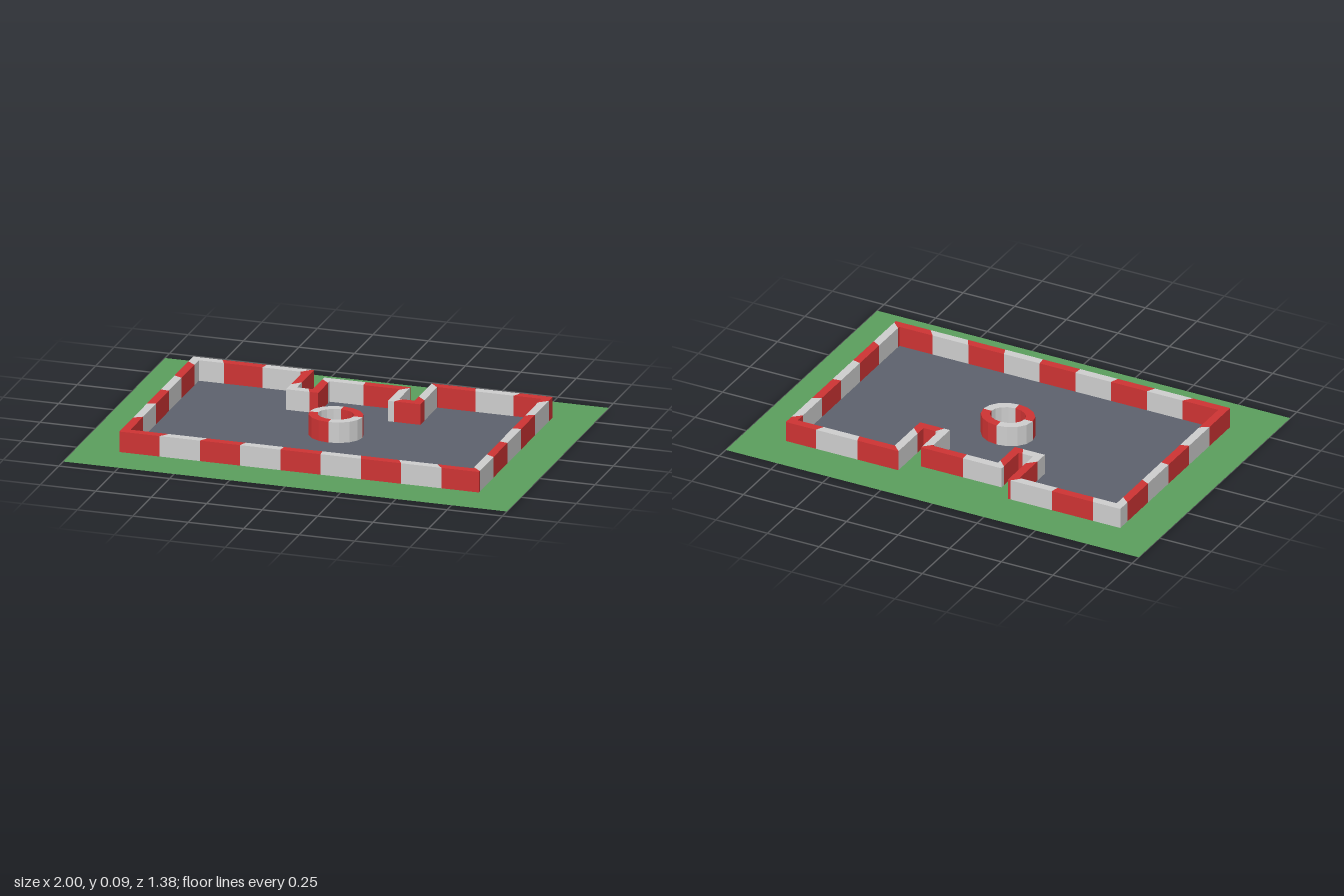
import * as THREE from 'three';

const HEIGHT = 0.093;
const THICK = 0.0375;

const material = (name, color, side = THREE.FrontSide) => {
  const m = new THREE.MeshStandardMaterial({ color, side });
  m.name = name;
  return m;
};

// Boundary of the track as [x, z], counterclockwise from above, inset by t
function boundary(t) {
  const half = [
    [0.81 - t, 0.5 - t], [0.81 - t, -0.5 + t],
    [0.265 + t, -0.5 + t], [0.265 + t, -0.27 + t],
    [0.195 - t, -0.27 + t], [0.195 - t, -0.425 + t],
  ];
  const mirrored = half.map(([x, z]) => [-x, z]).reverse();
  return [mirrored.pop(), ...half, ...mirrored];
}

function ellipse(rx, rz, n = 16) {
  return Array.from({ length: n }, (_, i) => {
    const a = (i / n) * Math.PI * 2;
    return [rx * Math.cos(a), -rz * Math.sin(a)];
  });
}

// Flat ground surface with holes
function ground(name, outline, holes, mat) {
  const toV = ([x, z]) => new THREE.Vector2(x, -z);
  const shape = new THREE.Shape(outline.map(toV));
  holes.forEach((h) => shape.holes.push(new THREE.Path(h.map(toV))));
  const mesh = new THREE.Mesh(new THREE.ShapeGeometry(shape).rotateX(-Math.PI / 2), mat);
  mesh.name = name;
  return mesh;
}

// Wall between two matching loops, cut into equal stripes along the inner loop
function stripedWall(name, outer, inner, stripes, mats) {
  const n = inner.length;
  const lengths = inner.map((p, i) => {
    const q = inner[(i + 1) % n];
    return Math.hypot(q[0] - p[0], q[1] - p[1]);
  });
  const step = lengths.reduce((a, b) => a + b, 0) / stripes;
  const positions = [[], []];
  const along = (loop, i, f) => {
    const p = loop[i], q = loop[(i + 1) % n];
    return [p[0] + (q[0] - p[0]) * f, p[1] + (q[1] - p[1]) * f];
  };

  let start = 0;
  for (let i = 0; i < n; i++) {
    const end = start + lengths[i];
    let s = start;
    while (s < end - 1e-6) {
      const index = Math.floor((s + 1e-6) / step);
      const next = Math.min(end, (index + 1) * step);
      const f0 = (s - start) / lengths[i], f1 = (next - start) / lengths[i];
      const a0 = along(outer, i, f0), a1 = along(outer, i, f1);
      const b0 = along(inner, i, f0), b1 = along(inner, i, f1);
      const low = ([x, z]) => [x, 0, z], high = ([x, z]) => [x, HEIGHT, z];
      const quad = (a, b, c, d) => positions[index % 2].push(...a, ...b, ...c, ...a, ...c, ...d);
      quad(low(a0), low(a1), high(a1), high(a0));
      quad(high(a0), high(a1), high(b1), high(b0));
      quad(low(b1), low(b0), high(b0), high(b1));
      s = next;
    }
    start = end;
  }

  const group = new THREE.Group();
  group.name = name;
  positions.forEach((list, k) => {
    const geometry = new THREE.BufferGeometry();
    geometry.setAttribute('position', new THREE.Float32BufferAttribute(list, 3));
    geometry.computeVertexNormals();
    const mesh = new THREE.Mesh(geometry, mats[k]);
    mesh.name = name + (k ? 'WhiteStripes' : 'RedStripes');
    group.add(mesh);
  });
  return group;
}

export function createModel() {
  const model = new THREE.Group();
  model.name = 'walledTrack';
  const grass = material('grass green', 0x5a9e5c, THREE.DoubleSide);
  const asphalt = material('asphalt grey', 0x5c616c, THREE.DoubleSide);
  const stripes = [material('barrier red', 0xcc3333), material('barrier white', 0xcccccc)];

  const outer = boundary(0), inner = boundary(THICK);
  const ringOuter = ellipse(0.12, 0.104), ringInner = ellipse(0.08, 0.066);

  // Ground
  const field = [[-1, 0.69], [1, 0.69], [1, -0.69], [-1, -0.69]];
  model.add(ground('grassField', field, [inner], grass));
  model.add(ground('trackFloor', inner, [ringOuter], asphalt));
  model.add(ground('islandGrass', ringOuter, [], grass));

  // Barriers
  model.add(stripedWall('outerBarrier', outer, inner, 33, stripes));
  model.add(stripedWall('islandBarrier', ringOuter, ringInner, 4, stripes));
  return model;
}
